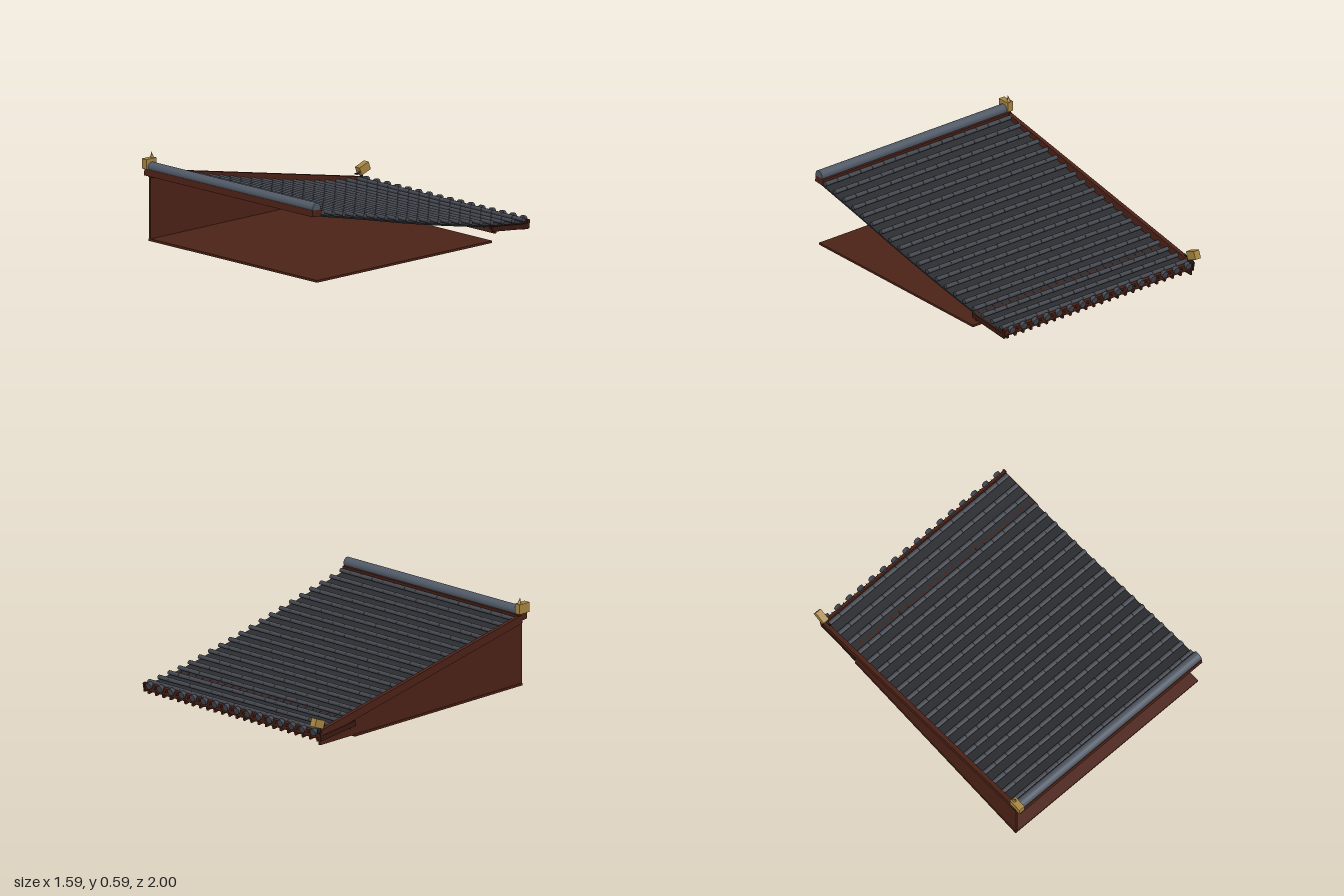
import * as THREE from 'three';

const mat = (color) => new THREE.MeshStandardMaterial({ color });
const wood = mat(0x4c2217), darkWood = mat(0x3a1911), tile = mat(0x43464e);
const slate = mat(0x2b2d31), black = mat(0x17191c), ridgeGrey = mat(0x505966), gold = mat(0xa98642);
slate.side = black.side = THREE.DoubleSide;

const SLOPE = 0.195, ANGLE = Math.atan(SLOPE);
const vergeY = (z) => 0.2916 + SLOPE * z; // straight top line of the verge

// Slightly hollow roof profile with a flatter eave: height of the tile centres
const profile = new THREE.CubicInterpolant(
  [-0.95, -0.8, -0.61, -0.4, -0.1, 0.2, 0.54, 0.95],
  [0.1, 0.112, 0.133, 0.17, 0.229, 0.295, 0.375, 0.467], 1);
const tileY = (z) => profile.evaluate(z)[0];

function add(parent, name, geo, material, x = 0, y = 0, z = 0) {
  const m = new THREE.Mesh(geo, material);
  m.name = name;
  m.position.set(x, y, z);
  parent.add(m);
  return m;
}
const box = (w, h, d) => new THREE.BoxGeometry(w, h, d);

// Box running in the yz plane between two centre points
function beam(parent, name, x, [z0, y0], [z1, y1], w, h, material) {
  const m = add(parent, name, box(w, h, Math.hypot(z1 - z0, y1 - y0)), material, x, (y0 + y1) / 2, (z0 + z1) / 2);
  m.rotation.x = -Math.atan2(y0 - y1, z0 - z1);
  return m;
}

// Thin sheet following the roof profile at a given depth below the tile centres
function sheet(width, depth) {
  const geo = new THREE.PlaneGeometry(width, 1.872, 1, 40).rotateX(-Math.PI / 2).translate(0.006, 0, 0.011);
  const p = geo.attributes.position;
  for (let i = 0; i < p.count; i++) p.setY(i, tileY(p.getZ(i)) - depth);
  geo.computeVertexNormals();
  return geo;
}

export function createModel() {
  const model = new THREE.Group();
  model.name = 'tiledRoofSection';

  // Floor and gable wall
  add(model, 'floor', box(1.57, 0.015, 1.56), wood, 0, 0.0075, 0.17);
  const outline = new THREE.Shape([[-0.95, 0.012], [0.93, 0.012], [0.93, vergeY(-0.93) - 0.03], [-0.95, vergeY(0.95) - 0.03]]
    .map(([a, b]) => new THREE.Vector2(a, b)));
  const wall = add(model, 'gableWall', new THREE.ExtrudeGeometry(outline, { depth: 0.012, bevelEnabled: false }), wood, -0.78);
  wall.rotation.y = Math.PI / 2;

  // Roof surface, dark ceiling below it and the verge board along the gable
  add(model, 'panTiles', sheet(1.556, 0.018), slate);
  add(model, 'ceiling', sheet(1.556, 0.027), black);
  beam(model, 'vergeBoard', -0.774, [0.942, vergeY(0.942) - 0.0275], [-0.925, vergeY(-0.925) - 0.0275], 0.028, 0.055, wood);

  // Rows of short round tiles, parallel to the ridge
  const tileGeo = new THREE.CylinderGeometry(0.0155, 0.0165, 0.0945, 10).rotateZ(Math.PI / 2).scale(1, 0.85, 1);
  for (let row = 0; row < 20; row++) {
    const z = -0.894 + row * 0.0941;
    for (let i = 0; i < 16; i++) {
      add(model, 'roundTile', tileGeo, tile, -0.7125 + i * 0.0965, tileY(z), z).rotation.x = -ANGLE;
    }
  }

  // Round end tiles along the eave, with drip points between them
  const capGeo = new THREE.CylinderGeometry(0.024, 0.024, 0.026, 14).rotateX(Math.PI / 2 - ANGLE);
  const dripGeo = new THREE.ConeGeometry(0.014, 0.025, 4).rotateX(-Math.PI / 2 - ANGLE);
  for (let i = 0; i < 16; i++) {
    const x = -0.735 + i * 0.0978;
    add(model, 'eaveTile', capGeo, tile, x, 0.094, -0.939);
    if (i < 15) add(model, 'eaveDrip', dripGeo, wood, x + 0.049, 0.085, -0.937);
  }

  // Eave framing: fascia, purlin, rafters and end boards
  const fascia = add(model, 'eaveFascia', box(1.57, 0.052, 0.02), wood, 0, 0.077, -0.922);
  fascia.rotation.x = -ANGLE;
  add(model, 'eavePurlin', box(1.57, 0.036, 0.02), wood, 0, 0.076, -0.64);
  for (let i = 0; i < 24; i++) {
    beam(model, 'rafter', -0.753 + i * 0.0655, [-0.62, 0.101], [-0.93, 0.046], 0.015, 0.03, wood);
  }
  for (const x of [-0.785, 0.785]) {
    beam(model, 'eaveEndBoard', x, [-0.61, 0.092], [-0.935, 0.058], 0.014, 0.034, darkWood);
    const block = add(model, 'eaveEndBlock', box(0.014, 0.06, 0.022), darkWood, x, 0.073, -0.926);
    block.rotation.x = -ANGLE;
  }

  // Ridge beam and round ridge cap
  const ridgeBeam = add(model, 'ridgeBeam', box(1.57, 0.044, 0.078), wood, 0, 0.46, 0.951);
  ridgeBeam.rotation.x = -ANGLE / 2;
  add(model, 'ridgeCap', new THREE.CylinderGeometry(0.034, 0.034, 1.55, 20).rotateZ(Math.PI / 2), ridgeGrey, 0.01, 0.496, 0.953);

  // Gilded ornaments at the ridge end and the eave corner
  add(model, 'ridgeOrnament', box(0.044, 0.066, 0.09), gold, -0.775, 0.519, 0.955);
  const spike = add(model, 'ridgeOrnamentSpike', new THREE.ConeGeometry(0.013, 0.045, 8), gold, -0.775, 0.571, 0.932);
  spike.rotation.x = 0.2;
  const corner = add(model, 'eaveOrnament', box(0.044, 0.056, 0.085), gold, -0.775, 0.163, -0.948);
  corner.rotation.x = 0.35;
  add(model, 'eaveOrnamentStem', new THREE.CylinderGeometry(0.008, 0.012, 0.06, 8), black, -0.775, 0.125, -0.935);
  const hook = [[0.14, -0.87], [0.135, -0.89], [0.15, -0.915], [0.165, -0.935]].map(([y, z]) => new THREE.Vector3(-0.765, y, z));
  add(model, 'eaveOrnamentHook', new THREE.TubeGeometry(new THREE.CatmullRomCurve3(hook), 12, 0.006, 6), black);

  return model;
}
